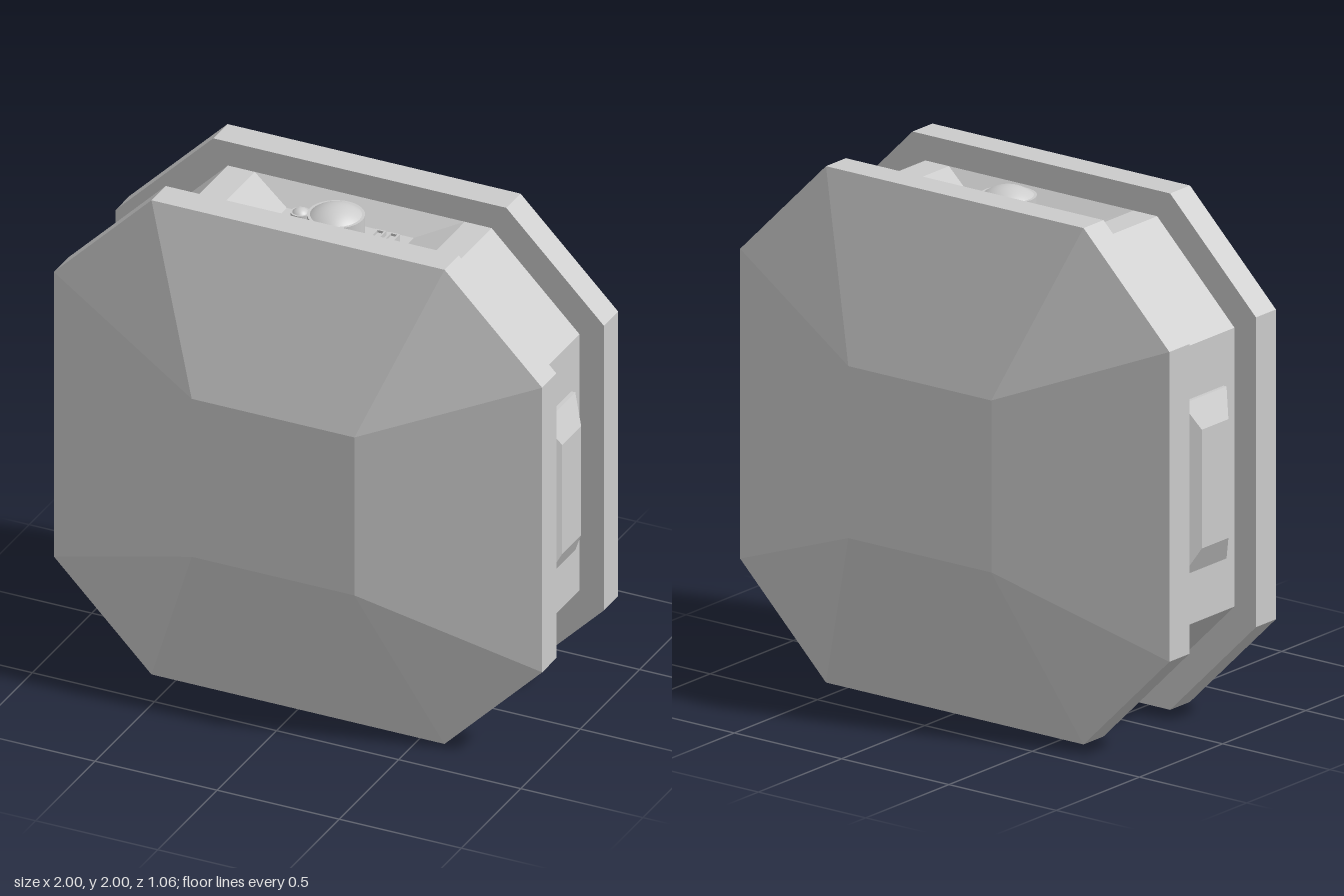
import * as THREE from 'three';

const grey = new THREE.MeshStandardMaterial({ color: 0xcccccc });
const flat = new THREE.MeshStandardMaterial({ color: 0xcccccc, flatShading: true });

// Cross-sections in the xy plane, counter-clockwise; the last edge of the octagon is its top
function octagon(s) {
  return [[-0.6, 1], [-1, 0.6], [-1, -0.6], [-0.6, -1], [0.6, -1], [1, -0.6], [1, 0.6], [0.6, 1]]
    .map(([x, y]) => [x * s, y * s]);
}
const rect = (w, h) => [[-w, h], [-w, -h], [w, -h], [w, h]];
// Square with doubled corners, so an octagon can taper into it
const octSquare = (s) => octagon(1).map(([x, y]) => [Math.sign(x) * s, Math.sign(y) * s]);

// Joins cross-sections [points, z] with flat faces
function loft(sections, { startCap = false, endCap = true, closed = true } = {}) {
  const rings = sections.map(([pts, z]) => pts.map(([x, y]) => new THREE.Vector3(x, y, z)));
  const pos = [];
  const tri = (a, b, c) => {
    if (new THREE.Triangle(a, b, c).getArea() > 1e-7) for (const p of [a, b, c]) pos.push(p.x, p.y, p.z);
  };
  const n = rings[0].length;
  for (let r = 0; r + 1 < rings.length; r++) {
    const a = rings[r], b = rings[r + 1];
    for (let i = 0; i < (closed ? n : n - 1); i++) {
      const j = (i + 1) % n;
      tri(a[i], a[j], b[j]);
      tri(a[i], b[j], b[i]);
    }
  }
  const first = rings[0], last = rings[rings.length - 1];
  for (let i = 1; i + 1 < n; i++) {
    if (startCap) tri(first[0], first[i + 1], first[i]);
    if (endCap) tri(last[0], last[i], last[i + 1]);
  }
  const g = new THREE.BufferGeometry();
  g.setAttribute('position', new THREE.Float32BufferAttribute(pos, 3));
  g.computeVertexNormals();
  return g;
}

function add(parent, name, geometry, material, x = 0, y = 0, z = 0) {
  const m = new THREE.Mesh(geometry, material);
  m.name = name;
  m.position.set(x, y, z);
  parent.add(m);
  return m;
}

// Round button: a collar with a shallow dome on top
function button(parent, name, x, z, bottom, top, radius, domeRadius, rise) {
  const g = new THREE.Group();
  g.name = name;
  g.position.set(x, 0, z);
  const h = top - bottom;
  add(g, name + 'Collar', new THREE.CylinderGeometry(radius, radius, h, 32), grey, 0, bottom + h / 2);
  const R = (domeRadius ** 2 + rise ** 2) / (2 * rise);
  const dome = new THREE.SphereGeometry(R, 32, 8, 0, Math.PI * 2, 0, Math.asin(domeRadius / R));
  add(g, name + 'Dome', dome, grey, 0, top + rise - R);
  parent.add(g);
}

export function createModel() {
  const model = new THREE.Group();
  model.name = 'device';
  const floor = 1.83;

  // Two faceted shells, front and back
  const shell = loft([[octagon(1), 0.2], [octagon(1), 0.32], [octSquare(0.333), 0.53]], { startCap: true });
  add(model, 'frontShell', shell, flat, 0, 1, 0);
  add(model, 'backShell', shell, flat, 0, 1, 0).rotation.y = Math.PI;

  // Core between the shells, left open on top for the recess
  const core = loft([[octagon(0.9), -0.2], [octagon(0.9), 0.2]], { endCap: false, closed: false });
  add(model, 'core', core, flat, 0, 1, 0);
  const recess = loft([[rect(0.43, 0.2), 1.9], [rect(0.26, 0.12), floor]]).rotateX(-Math.PI / 2);
  add(model, 'controlRecess', recess, flat);

  // Mirrored parts: top strips beside the recess, and bevelled side plates
  const strip = new THREE.PlaneGeometry(0.11, 0.4).rotateX(-Math.PI / 2);
  const plate = loft([[rect(0.133, 0.333), 0.89], [rect(0.133, 0.333), 0.915], [rect(0.08, 0.23), 0.965]]);
  for (const [side, s] of [['left', 1], ['right', -1]]) {
    add(model, side + 'TopStrip', strip, flat, s * 0.485, 1.9, 0);
    add(model, side + 'Plate', plate, flat, 0, 1, 0).rotation.y = s * Math.PI / 2;
  }

  // Round controls
  button(model, 'mainButton', 0, 0, floor, 1.927, 0.107, 0.096, 0.035);
  button(model, 'smallButton', -0.175, -0.06, floor, 1.865, 0.037, 0.03, 0.015);

  // Two framed bars
  const toPath = (PathType, w, h) => new PathType(rect(w, h).map(([x, y]) => new THREE.Vector2(x, y)));
  const outline = toPath(THREE.Shape, 0.02, 0.07);
  outline.holes.push(toPath(THREE.Path, 0.012, 0.062));
  const frame = new THREE.ExtrudeGeometry(outline, { depth: 0.03, bevelEnabled: false }).rotateX(-Math.PI / 2);
  for (const x of [0.15, 0.205]) {
    add(model, 'barFrame', frame, flat, x, floor, -0.005);
    add(model, 'bar', new THREE.BoxGeometry(0.024, 0.02, 0.124), flat, x, floor + 0.01, -0.005);
  }
  return model;
}
